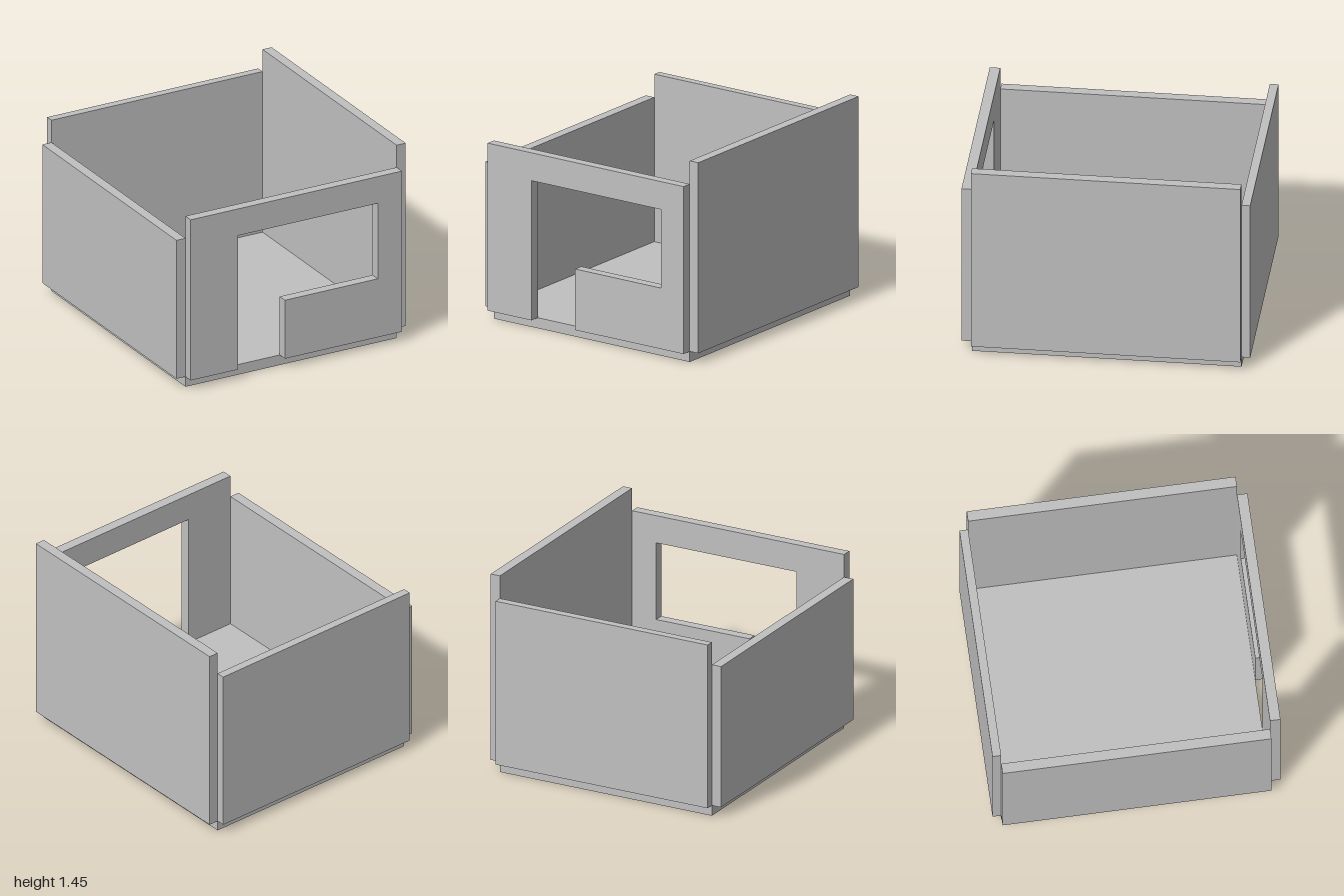
import * as THREE from 'three';

export function createModel() {
  const model = new THREE.Group();
  model.name = 'roomShell';
  const grey = new THREE.MeshStandardMaterial({ color: 0xc0c0c0 });
  grey.name = 'plain grey';

  const halfW = 0.835, floorTop = 0.076, zFront = 0.927, zBack = -0.94;

  // Box given by its minimum and maximum corners
  const slab = (name, [x0, y0, z0], [x1, y1, z1]) => {
    const mesh = new THREE.Mesh(new THREE.BoxGeometry(x1 - x0, y1 - y0, z1 - z0), grey);
    mesh.position.set((x0 + x1) / 2, (y0 + y1) / 2, (z0 + z1) / 2);
    mesh.name = name;
    model.add(mesh);
  };

  // Floor and the three solid walls standing just outside its edges
  slab('floor', [-halfW, 0, zBack], [halfW, floorTop, zFront]);
  slab('backWall', [-halfW, floorTop, -1], [halfW, 1.285, zBack]);
  slab('leftWall', [halfW, floorTop, zBack], [0.907, 1.452, zFront]);
  slab('rightWall', [-0.907, floorTop, zBack], [-halfW, 1.118, zFront]);

  // Front wall: one outline running around the joined doorway and window
  const outline = [
    [-halfW, floorTop], [-0.46, floorTop], [-0.46, 1.084], [0.645, 1.084],
    [0.645, 0.516], [-0.09, 0.516], [-0.09, floorTop], [halfW, floorTop],
    [halfW, 1.285], [-halfW, 1.285],
  ].map(([x, y]) => new THREE.Vector2(x, y));
  const wall = new THREE.ExtrudeGeometry(new THREE.Shape(outline), {
    depth: 1 - zFront, bevelEnabled: false,
  });
  const frontWall = new THREE.Mesh(wall, grey);
  frontWall.position.z = zFront;
  frontWall.name = 'frontWall';
  model.add(frontWall);

  return model;
}
